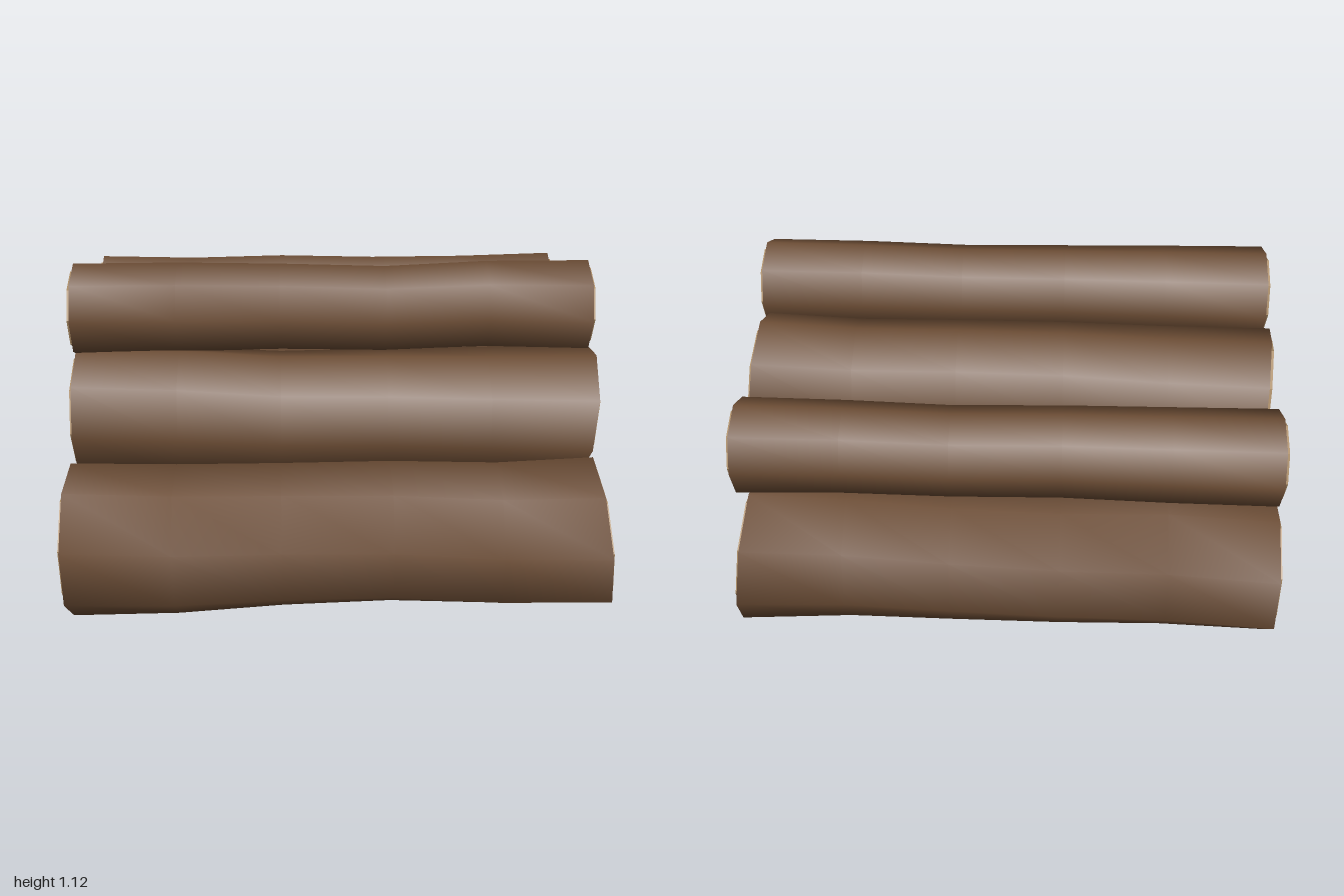
import * as THREE from 'three';

const SIDES = 8;
const STATIONS = [-0.935, -0.56, -0.19, 0.19, 0.56, 0.93];
const SWELL = [1, 0.985, 0.95, 0.945, 0.965, 1]; // slim waist, full ends
const BEND = [1, 0.6, 0.25, 0.1, 0, 0]; // how much of the left-hand offset remains

// One octagonal ring; slope = [along y, along z] leans the cut face outward
function ring({ x, y, z, r, turn }, slope = [0, 0], scale = 1, push = 0) {
  return Array.from({ length: SIDES }, (_, j) => {
    const a = turn + (j / SIDES) * Math.PI * 2;
    const dy = Math.cos(a) * r * scale;
    const dz = -Math.sin(a) * r * scale;
    return [x + push + slope[0] * dy + slope[1] * dz, y + dy, z + dz];
  });
}

// Skin a list of rings ordered from -x to +x
function loft(rings, flat) {
  const index = [];
  for (let i = 0; i < rings.length - 1; i++) {
    for (let j = 0; j < SIDES; j++) {
      const k = (j + 1) % SIDES;
      const a = i * SIDES + j, b = i * SIDES + k;
      const c = a + SIDES, d = b + SIDES;
      index.push(a, c, b, b, c, d);
    }
  }
  let geo = new THREE.BufferGeometry();
  geo.setAttribute('position', new THREE.Float32BufferAttribute(rings.flat(2), 3));
  geo.setIndex(index);
  if (flat) geo = geo.toNonIndexed();
  geo.computeVertexNormals();
  return geo;
}

// Each log: radius, [z, y] and turn in degrees at both ends, cut slopes at both ends
const LOGS = [
  { name: 'frontBottomLog', r: 0.272, right: [0.65, 0.295], left: [0.625, 0.27], turn: [22, 10], cutR: [-0.11, 0] },
  { name: 'smallBottomLog', r: 0.165, right: [0.245, 0.173], left: [0.245, 0.173], turn: [0, 2] },
  { name: 'middleBottomLog', r: 0.245, right: [-0.13, 0.275], left: [-0.1, 0.265], turn: [12, 3], cutR: [-0.05, 0] },
  { name: 'backBottomLog', r: 0.272, right: [-0.61, 0.295], left: [-0.65, 0.325], turn: [22, 10], cutR: [-0.11, 0] },
  { name: 'frontUpperLog', r: 0.245, right: [0.26, 0.585], left: [0.22, 0.585], turn: [0, -13], cutR: [0.09, 0] },
  { name: 'middleUpperLog', r: 0.24, right: [-0.175, 0.737], left: [-0.185, 0.715], turn: [6, 1], cutR: [-0.09, 0], cutL: [0, -0.11] },
  { name: 'backUpperLog', r: 0.168, right: [-0.58, 0.725], left: [-0.585, 0.725], turn: [2, 0] },
  { name: 'topLog', r: 0.173, right: [0.145, 0.953], left: [0.145, 0.953], turn: [6, 0] },
];

export function createModel() {
  const bark = new THREE.MeshStandardMaterial({ color: 0x6b4c34 });
  bark.name = 'bark';
  const wood = new THREE.MeshStandardMaterial({ color: 0xa88a64 });
  wood.name = 'cutWood';

  const model = new THREE.Group();
  model.name = 'logPile';

  LOGS.forEach(({ name, r, right, left, turn, cutR = [0, 0], cutL = [0, 0] }, n) => {
    const log = new THREE.Group();
    log.name = name;
    const add = (part, geo, mat) => {
      const mesh = new THREE.Mesh(geo, mat);
      mesh.name = part;
      log.add(mesh);
    };

    // Gently bent trunk sections
    const sections = STATIONS.map((x, i) => {
      const inner = i > 0 && i < STATIONS.length - 1 ? 0.006 : 0;
      const w = BEND[i];
      return {
        x,
        z: right[0] + (left[0] - right[0]) * w + inner * Math.sin(n * 2.1 + i * 1.9),
        y: right[1] + (left[1] - right[1]) * w + inner * Math.cos(n * 1.3 + i * 2.3),
        r: r * SWELL[i],
        turn: THREE.MathUtils.degToRad(turn[0] + (turn[1] - turn[0]) * (i / 5)),
      };
    });
    const last = sections.length - 1;
    const slopeAt = (i) => (i === 0 ? cutL : i === last ? cutR : [0, 0]);
    add('bark', loft(sections.map((s, i) => ring(s, slopeAt(i))), false), bark);

    // Bark rim and raised cut face on both ends
    for (const [side, s, slope, dir] of [['left', sections[last], cutR, 1], ['right', sections[0], cutL, -1]]) {
      const order = (rings) => (dir > 0 ? rings : rings.reverse());
      add(side + 'Rim', loft(order([ring(s, slope), ring(s, slope, 0.82)]), true), bark);
      add(side + 'CutFace', loft(order([
        ring(s, slope, 0.83, -0.004 * dir),
        ring(s, slope, 0.83, 0.012 * dir),
        ring(s, slope, 0, 0.012 * dir),
      ]), true), wood);
    }
    model.add(log);
  });
  return model;
}
